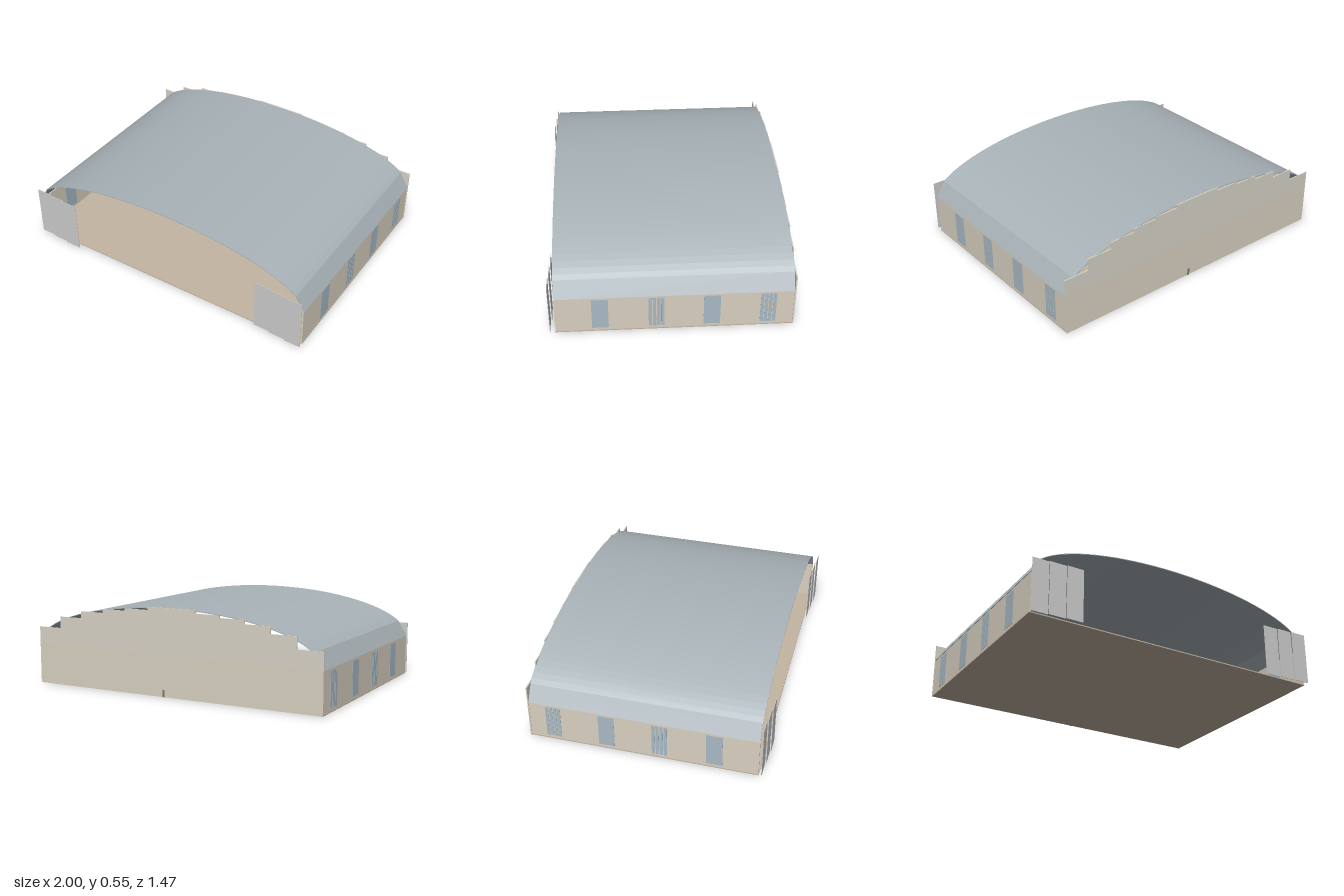
import * as THREE from 'three';

const mat = (color) => new THREE.MeshStandardMaterial({ color, side: THREE.DoubleSide, flatShading: true });
const wallMat = mat(0xd8d0c0), gableMat = mat(0xd6d2c6), roofMat = mat(0xa9b3b8), glassMat = mat(0xa9bac4);
const floorMat = mat(0xc4b5a2), doorMat = mat(0xcccccc), railMat = mat(0xa09a50), darkMat = mat(0x77756e);

const BACK = -0.733, FRONT = 0.70, EAVE = 0.26, RISE = 0.29;

export function createModel() {
  const root = new THREE.Group();

  const box = (name, material, x0, x1, y0, y1, z0, z1, parent = root) => {
    const m = new THREE.Mesh(new THREE.BoxGeometry(x1 - x0, y1 - y0, z1 - z0), material);
    m.position.set((x0 + x1) / 2, (y0 + y1) / 2, (z0 + z1) / 2);
    m.name = name;
    parent.add(m);
    return m;
  };

  // Floor slab
  box('floor', floorMat, -0.998, 0.998, 0, 0.007, BACK, FRONT);

  // Arched roof sheet: half ellipse with a straight steep strip at each eave
  const arc = (rx, ry) => {
    const pts = [new THREE.Vector2(rx, EAVE)];
    const a0 = 0.35, n = 32;
    for (let i = 0; i <= n; i++) {
      const a = a0 + (Math.PI - 2 * a0) * i / n;
      pts.push(new THREE.Vector2(rx * Math.cos(a), EAVE + ry * Math.sin(a)));
    }
    pts.push(new THREE.Vector2(-rx, EAVE));
    return pts;
  };
  const roofShape = new THREE.Shape([...arc(1, RISE), ...arc(0.995, RISE - 0.005).reverse()]);
  const roof = new THREE.Mesh(
    new THREE.ExtrudeGeometry(roofShape, { depth: FRONT - BACK, bevelEnabled: false }), roofMat);
  roof.position.z = BACK;
  roof.name = 'archedRoof';
  root.add(roof);

  // Back wall, with the gable stepped under the roof line
  box('backWall', wallMat, -1, 1, 0, EAVE, -0.737, -0.729);
  const stepTops = [0.55, 0.545, 0.53, 0.515, 0.49, 0.445, 0.37];
  for (const s of [-1, 1]) {
    for (let i = 0; i < 6; i++) {
      const a = s * i / 6, b = s * (i + 1) / 6;
      const top = stepTops[i + (i > 0 ? 1 : 0)];
      box('gablePanel', gableMat, Math.min(a, b), Math.max(a, b), EAVE, top, -0.737, -0.729);
    }
  }
  box('drainPost', darkMat, 0.048, 0.062, 0, 0.045, -0.740, -0.722);

  // Side walls with alternating plain and slatted windows
  for (const s of [-1, 1]) {
    const side = new THREE.Group();
    side.name = s > 0 ? 'leftSide' : 'rightSide';
    root.add(side);
    box('sideWall', wallMat, s * 0.992 - 0.004, s * 0.992 + 0.004, 0, EAVE, BACK, FRONT, side);
    [0.43, 0.095, -0.24, -0.575].forEach((z, i) => {
      const slats = i % 2 ? 4 : 1, w = 0.1 / slats;
      for (let k = 0; k < slats; k++) {
        const z0 = z - 0.05 + k * w;
        box('window', glassMat, s * 0.992 - 0.0065, s * 0.992 + 0.0065, 0.025, 0.245,
          z0, z0 + w - (slats > 1 ? 0.005 : 0), side);
      }
    });
  }

  // Sliding door leaves, three per side, staggered in depth
  for (const x0 of [-1, 0.673]) {
    for (let i = 0; i < 3; i++) {
      const z = 0.718 + i * 0.0075;
      box('slidingDoor', doorMat, x0 + i * 0.109, x0 + (i + 1) * 0.109, 0.004, 0.345, z - 0.0015, z + 0.0015);
    }
  }

  // Low rail on posts along the back wall
  box('backRail', railMat, -0.95, 0.95, 0.082, 0.104, -0.715, -0.70);
  for (let i = 0; i < 13; i++) {
    const x = -0.927 + i * 0.1457;
    box('railPost', darkMat, x - 0.004, x + 0.004, 0.005, 0.082, -0.713, -0.703);
  }

  return root;
}
